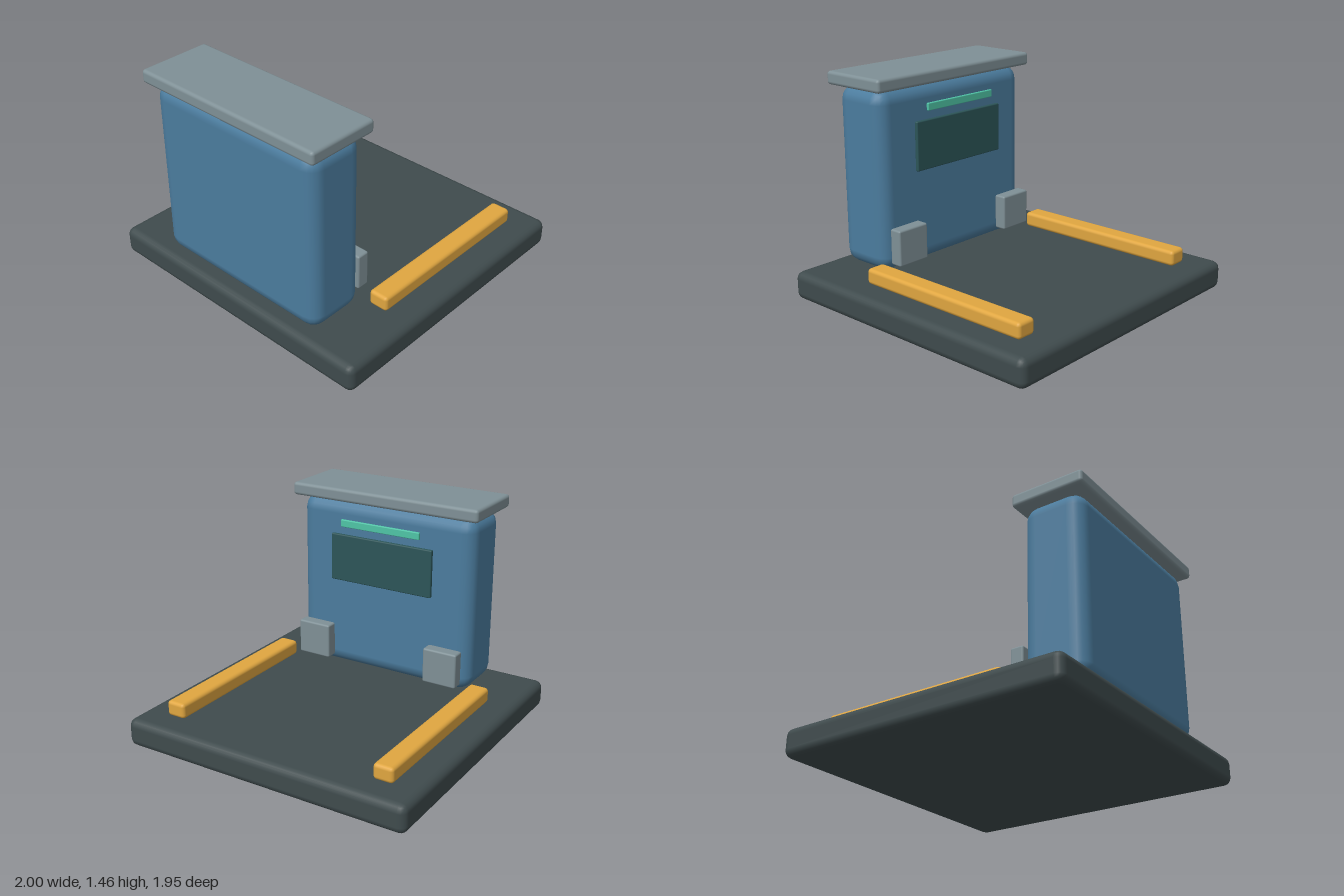
import * as THREE from 'three';
import { RoundedBoxGeometry } from 'three/addons/geometries/RoundedBoxGeometry.js';

const mat = (color) => new THREE.MeshStandardMaterial({ color });

export function createModel() {
  const model = new THREE.Group();
  const dark = mat(0x3f4b4d), blue = mat(0x4b7c9e), grey = mat(0x7f9096);
  const amber = mat(0xe0a640), glass = mat(0x2c5558), mint = mat(0x4fc4a6);

  // Bevelled block given by its extents along each axis
  const block = (name, [x0, x1], [y0, y1], [z0, z1], bevel, material) => {
    const geo = new RoundedBoxGeometry(x1 - x0, y1 - y0, z1 - z0, 2, bevel);
    const mesh = new THREE.Mesh(geo, material);
    mesh.name = name;
    mesh.position.set((x0 + x1) / 2, (y0 + y1) / 2, (z0 + z1) / 2);
    model.add(mesh);
  };

  // Floor slab, upright cabinet and its overhanging cap
  block('base', [-1, 1], [0, 0.187], [-0.977, 0.977], 0.05, dark);
  block('cabinet', [-0.65, 0.65], [0.185, 1.37], [0.492, 0.9], 0.095, blue);
  block('cap', [-0.69, 0.69], [1.367, 1.455], [0.45, 0.938], 0.022, grey);

  // Rear display and light strip
  block('displayPanel', [-0.38, 0.38], [0.82, 1.145], [0.447, 0.474], 0.008, glass);
  block('lightStrip', [-0.295, 0.295], [1.205, 1.255], [0.43, 0.45], 0.006, mint);

  // Mirrored guide rails and bumpers
  for (const [side, s] of [['left', 1], ['right', -1]]) {
    const span = (a, b) => (s > 0 ? [a, b] : [-b, -a]);
    block(side + 'Rail', span(0.687, 0.822), [0.184, 0.287], [-0.795, 0.468], 0.024, amber);
    block(side + 'Bumper', span(0.368, 0.61), [0.25, 0.49], [0.388, 0.476], 0.013, grey);
  }
  return model;
}
